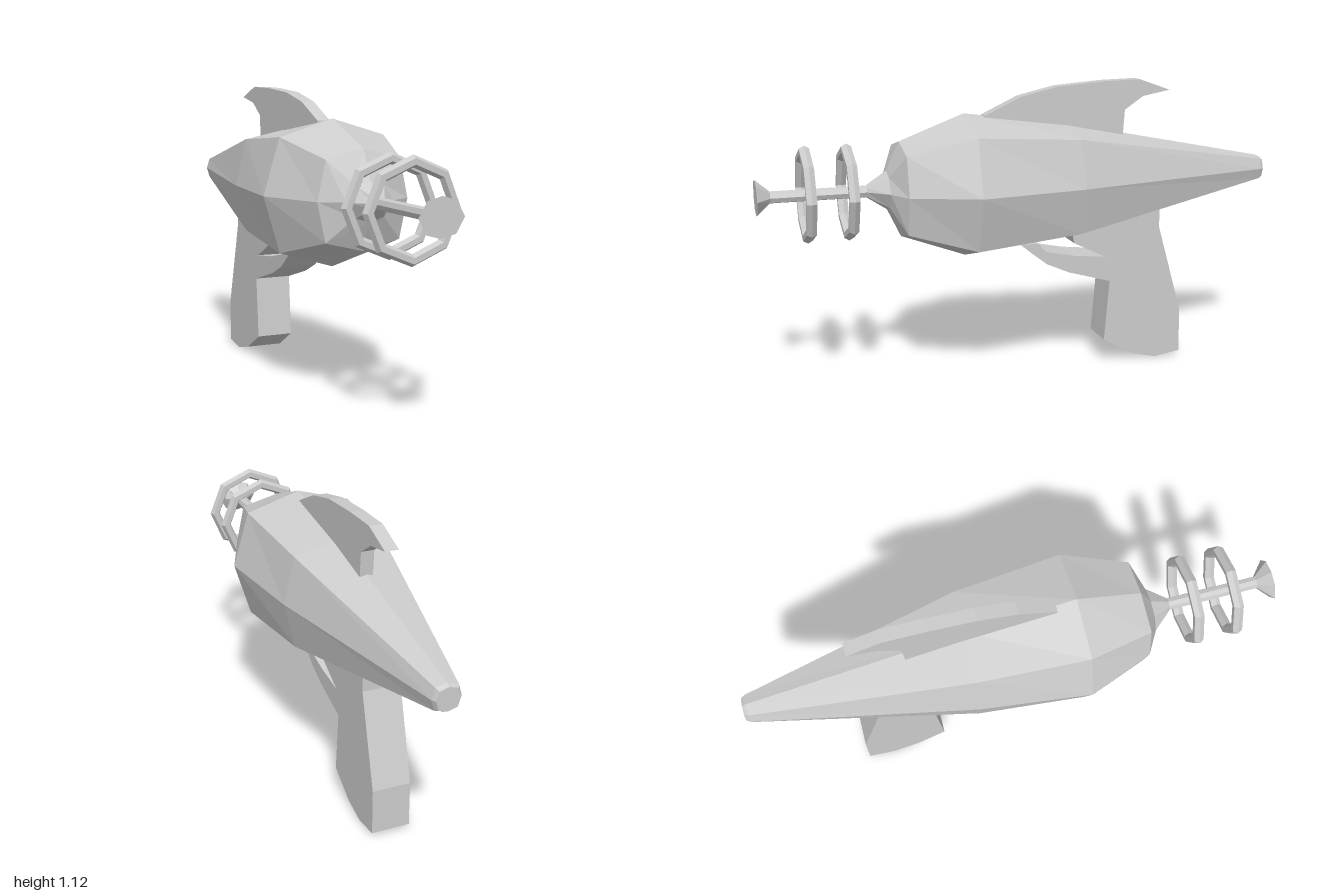
import * as THREE from 'three';

const AXIS_Y = 0.74;
const material = new THREE.MeshStandardMaterial({ color: 0xcccccc, flatShading: true });

function addMesh(parent, name, geometry) {
  const mesh = new THREE.Mesh(geometry, material);
  mesh.name = name;
  parent.add(mesh);
  return mesh;
}

// Eight-sided closed loft along z. Each section: [z, half width, half height, diagonal corner offset]
function octagonLoft(sections) {
  const rings = sections.map(([z, w, h, d]) => [
    [w, 0], [d, d], [0, h], [-d, d], [-w, 0], [-d, -d], [0, -h], [d, -d],
  ].map(([x, y]) => [x, y, z]));
  const positions = [];
  const tri = (a, b, c) => positions.push(...a, ...b, ...c);
  for (let i = 0; i < rings.length - 1; i++) {
    for (let j = 0; j < 8; j++) {
      const k = (j + 1) % 8;
      tri(rings[i][j], rings[i][k], rings[i + 1][k]);
      tri(rings[i][j], rings[i + 1][k], rings[i + 1][j]);
    }
  }
  const back = rings[0];
  const front = rings[rings.length - 1];
  for (let j = 1; j < 7; j++) {
    tri(back[0], back[j + 1], back[j]);
    tri(front[0], front[j], front[j + 1]);
  }
  const geometry = new THREE.BufferGeometry();
  geometry.setAttribute('position', new THREE.Float32BufferAttribute(positions, 3));
  geometry.computeVertexNormals();
  return geometry;
}

// Flat side profile given as [z, y] points, extruded evenly across x
function sidePlate(points, width) {
  const shape = new THREE.Shape(points.map(([z, y]) => new THREE.Vector2(z, y)));
  const geometry = new THREE.ExtrudeGeometry(shape, { depth: width, bevelEnabled: false });
  geometry.translate(0, 0, -width / 2);
  geometry.rotateY(-Math.PI / 2);
  return geometry;
}

export function createModel() {
  const model = new THREE.Group();
  model.name = 'rayGun';

  // Faceted body, tapering to the tail and necking down at the nose
  addMesh(model, 'body', octagonLoft([
    [-1.0, 0.043, 0.043, 0.033],
    [-0.985, 0.052, 0.05, 0.04],
    [-0.17, 0.22, 0.215, 0.178],
    [0.235, 0.27, 0.27, 0.208],
    [0.48, 0.174, 0.178, 0.143],
    [0.53, 0.09, 0.072, 0.055],
    [0.605, 0.024, 0.022, 0.017],
  ])).position.y = AXIS_Y;

  // Barrel rod with flared muzzle
  addMesh(model, 'barrel', octagonLoft([
    [0.59, 0.024, 0.022, 0.017],
    [0.95, 0.024, 0.022, 0.017],
    [1.0, 0.082, 0.066, 0.052],
  ])).position.y = AXIS_Y;

  // Floating rings around the barrel
  for (const z of [0.672, 0.822]) {
    addMesh(model, 'barrelRing', new THREE.TorusGeometry(0.159, 0.021, 6, 8))
      .position.set(0, AXIS_Y, z);
  }

  // Swept fin on top
  addMesh(model, 'fin', sidePlate([
    [0.16, 0.96], [0.16, 1.0], [0.02, 1.065], [-0.125, 1.098], [-0.31, 1.112], [-0.46, 1.115],
    [-0.585, 1.07], [-0.475, 1.05], [-0.4, 1.0], [-0.39, 0.86],
  ], 0.05));

  // Grip with the hooked trigger in one profile
  addMesh(model, 'gripAndTrigger', sidePlate([
    [-0.537, 0.66], [-0.535, 0.54], [-0.635, 0.19], [-0.637, 0.015], [-0.53, 0], [-0.43, 0.025],
    [-0.31, 0.095], [-0.33, 0.335], [-0.16, 0.385], [-0.07, 0.425], [0, 0.48], [0.035, 0.51],
    [-0.035, 0.51], [-0.065, 0.475], [-0.18, 0.45], [-0.31, 0.435], [-0.18, 0.5], [-0.16, 0.6],
  ], 0.146));

  return model;
}
